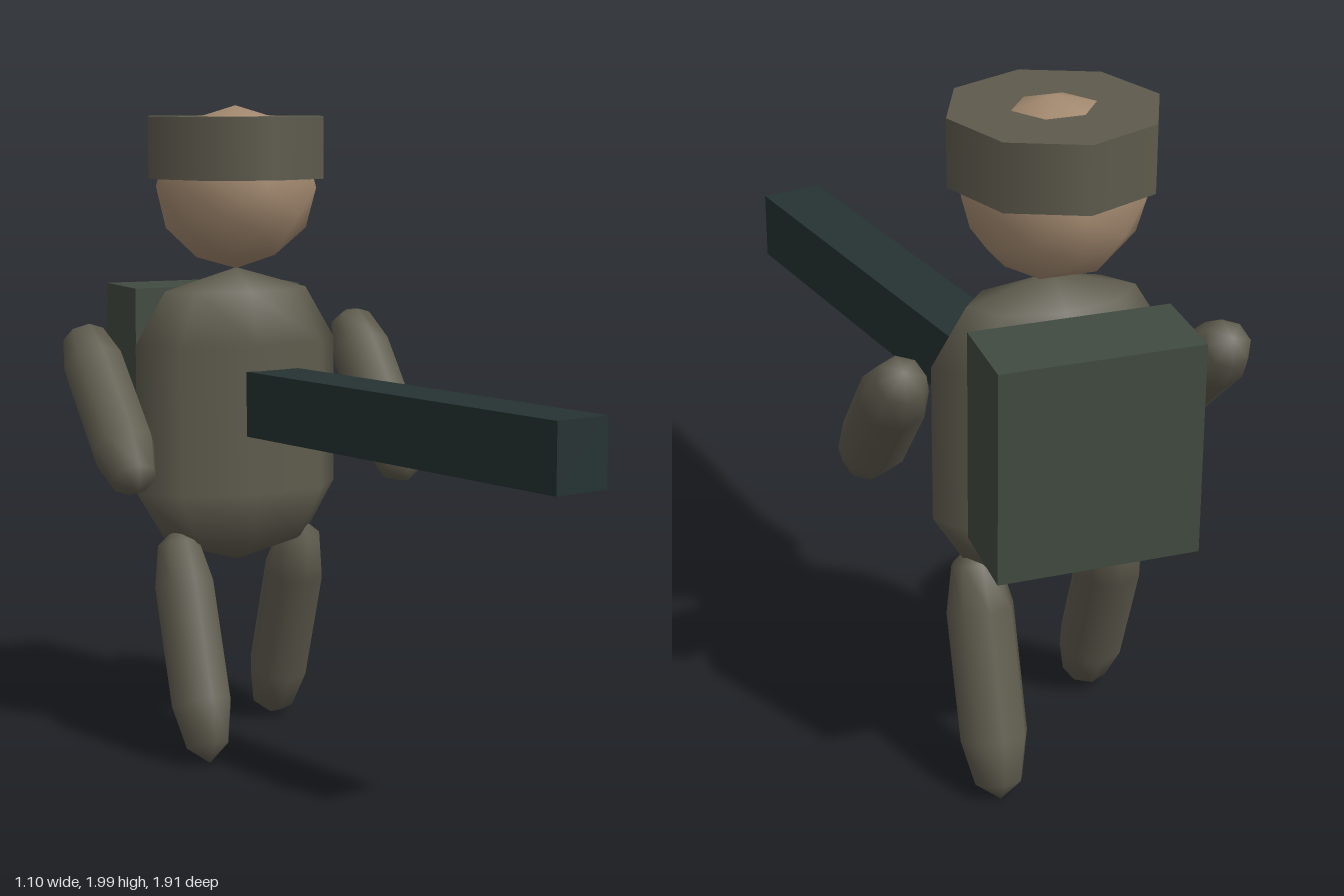
import * as THREE from 'three';

const paint = (color) => new THREE.MeshStandardMaterial({ color });

export function createModel() {
  const model = new THREE.Group();
  model.name = 'soldier';
  const cloth = paint(0x5e5b4d);
  const skin = paint(0xa48a70);
  const canvas = paint(0x414b41);
  const metal = paint(0x263232);
  const bodyZ = -0.557;

  const add = (name, geometry, material, x, y, z) => {
    const mesh = new THREE.Mesh(geometry, material);
    mesh.name = name;
    mesh.position.set(x, y, z);
    model.add(mesh);
    return mesh;
  };

  // One low capsule, 1 wide and 2 tall, stretched for torso and limbs
  const capsule = new THREE.CapsuleGeometry(0.5, 1, 2, 8);
  const addCapsule = (name, [x, y, z], [width, height, depth], tilt = 0) => {
    const mesh = add(name, capsule, cloth, x, y, z);
    mesh.scale.set(width, height / 2, depth);
    mesh.rotation.x = THREE.MathUtils.degToRad(tilt);
  };

  addCapsule('torso', [0, 1.043, bodyZ], [0.67, 0.92, 0.338]);

  // Arms reach forward, legs stride
  const armSize = [0.195, 0.666, 0.195];
  addCapsule('leftArm', [0.448, 1.095, -0.477], armSize, -41.7);
  addCapsule('rightArm', [-0.453, 1.097, -0.477], armSize, -48.3);
  const legSize = [0.195, 0.736, 0.195];
  addCapsule('leftLeg', [0.212, 0.354, -0.656], legSize, 20);
  addCapsule('rightLeg', [-0.212, 0.358, -0.412], legSize, -21);

  // Head and cap
  add('head', new THREE.IcosahedronGeometry(0.25, 1), skin, 0, 1.75, bodyZ);
  add('cap', new THREE.CylinderGeometry(0.288, 0.288, 0.188, 8), cloth, 0, 1.873, bodyZ);

  // Pack on the back
  add('backpack', new THREE.BoxGeometry(0.56, 0.61, 0.255), canvas, 0, 1.13, -0.828);

  // Long barrel swung to the left, its rear end inside the torso
  const length = 1.45;
  const barrel = new THREE.BoxGeometry(0.185, 0.2, length).translate(0, 0, -length / 2);
  add('barrel', barrel, metal, 0.353, 1.095, 0.93).rotation.y = THREE.MathUtils.degToRad(12.5);

  return model;
}
